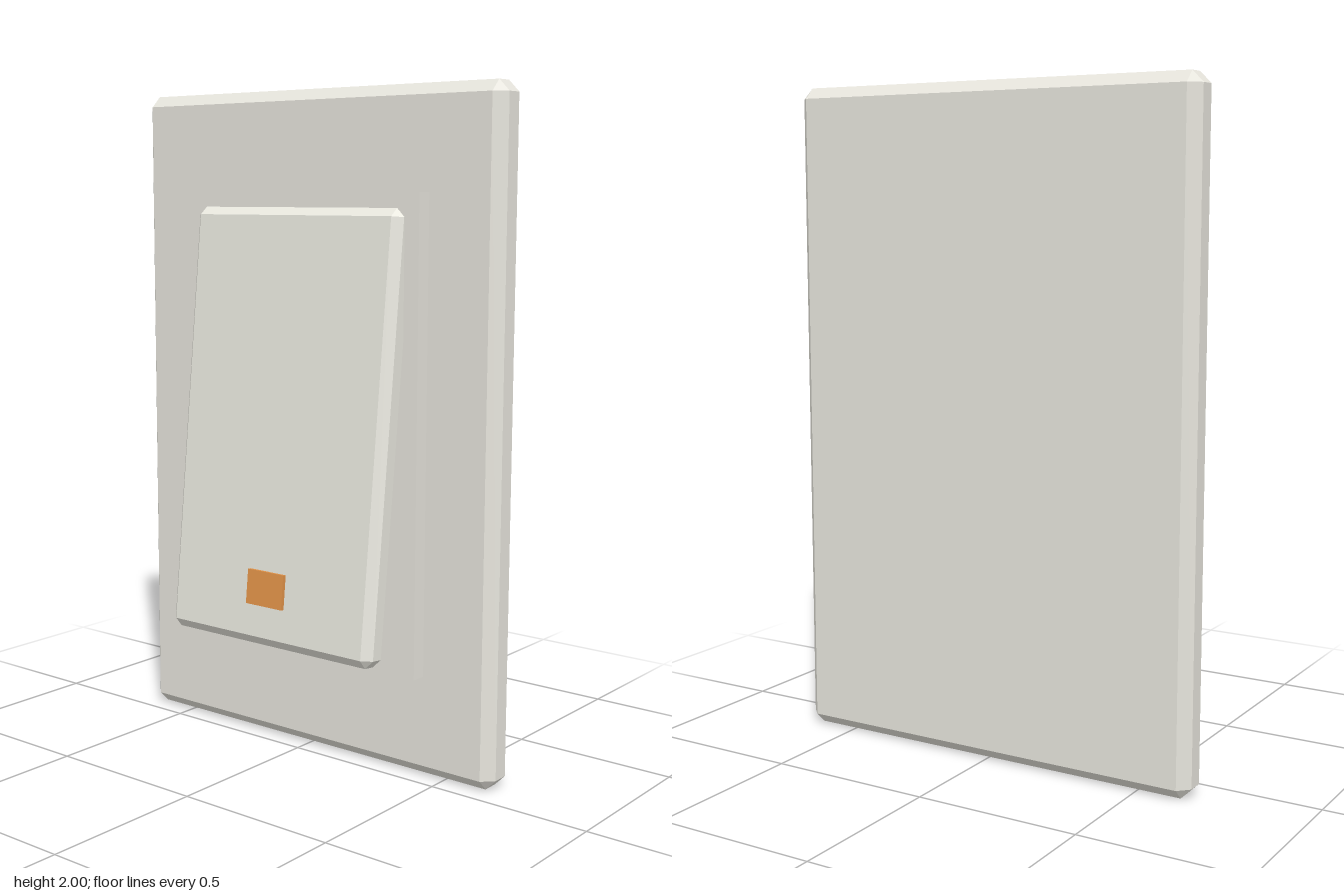
import * as THREE from 'three';
import { ConvexGeometry } from 'three/addons/geometries/ConvexGeometry.js';

// Box with every edge cut at 45 degrees and a triangle at each corner
function chamferedBox(w, h, d, c) {
  const points = [];
  for (const sx of [-1, 1]) for (const sy of [-1, 1]) for (const sz of [-1, 1]) {
    for (let axis = 0; axis < 3; axis++) {
      const [x, y, z] = [w, h, d].map((s, i) => s / 2 - (i === axis ? 0 : c));
      points.push(new THREE.Vector3(sx * x, sy * y, sz * z));
    }
  }
  return new ConvexGeometry(points);
}

function part(name, geometry, material, x, y, z) {
  const mesh = new THREE.Mesh(geometry, material);
  mesh.name = name;
  mesh.position.set(x, y, z);
  return mesh;
}

function material(name, color) {
  const m = new THREE.MeshStandardMaterial({ color });
  m.name = name;
  return m;
}

export function createModel() {
  const plateWhite = material('plateWhite', 0xe6e4dc);
  const rockerWhite = material('rockerWhite', 0xf0efe6);
  const amber = material('amber', 0xe09248);

  const model = new THREE.Group();
  model.name = 'lightSwitch';

  // Wall plate and raised frame
  model.add(part('wallPlate', chamferedBox(1.33, 2, 0.116, 0.033), plateWhite, 0, 1, -0.104));
  model.add(part('frame', new THREE.BoxGeometry(0.866, 1.395, 0.06), plateWhite, 0, 1.002, -0.028));

  // Rocker tilted with its lower end forward, carrying the indicator
  const rocker = new THREE.Group();
  rocker.name = 'rocker';
  rocker.position.set(0, 1.005, 0.0505);
  rocker.rotation.x = -THREE.MathUtils.degToRad(6);
  rocker.add(part('rockerPaddle', chamferedBox(0.768, 1.306, 0.09, 0.026), rockerWhite, 0, 0, 0));
  rocker.add(part('indicator', new THREE.BoxGeometry(0.136, 0.104, 0.024), amber, 0, -0.478, 0.045));
  model.add(rocker);

  return model;
}
